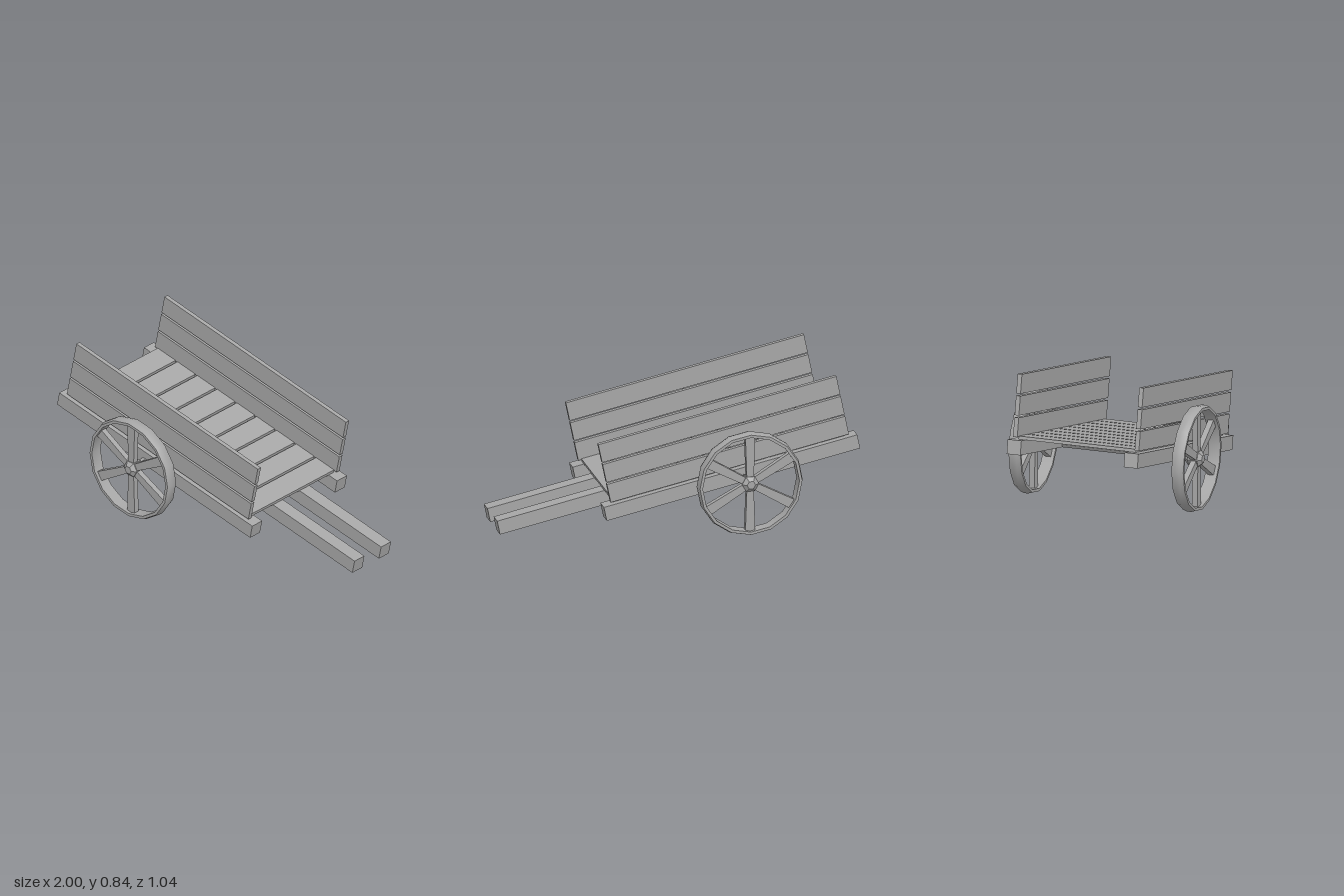
import * as THREE from 'three';
import { toCreasedNormals } from 'three/addons/utils/BufferGeometryUtils.js';

export function createModel() {
  const wood = new THREE.MeshStandardMaterial({ color: 0xa6a6a6 });
  wood.name = 'greyWood';

  const model = new THREE.Group();
  model.name = 'handCart';

  const add = (parent, name, geometry) => {
    const mesh = new THREE.Mesh(geometry, wood);
    mesh.name = name;
    parent.add(mesh);
    return mesh;
  };

  // Box given by its limits on each axis
  const beam = (parent, name, x0, x1, y0, y1, z0, z1) => {
    const mesh = add(parent, name, new THREE.BoxGeometry(x1 - x0, y1 - y0, z1 - z0));
    mesh.position.set((x0 + x1) / 2, (y0 + y1) / 2, (z0 + z1) / 2);
    return mesh;
  };

  // Ring or hub turned around the z axis from [radius, z] points
  const turned = (points, sides, start, crease) => {
    const profile = points.map(([r, z]) => new THREE.Vector2(r, z));
    const geometry = new THREE.LatheGeometry(profile, sides, start).rotateX(Math.PI / 2);
    return toCreasedNormals(geometry, crease);
  };

  // Tilted cart body, with its origin on the axle
  const body = new THREE.Group();
  body.name = 'cartBody';
  body.position.set(-0.35, 0.303, 0);
  body.rotation.z = -0.2045;
  model.add(body);

  // Deck planks
  for (let i = 0; i < 9; i++) {
    const x = -0.597 + i * 0.1505;
    beam(body, 'deckPlank', x, x + 0.136, 0.057, 0.075, -0.345, 0.345);
  }

  for (const side of [1, -1]) {
    const mirrored = (name, x0, x1, y0, y1, z0, z1) => {
      const mesh = beam(body, name, x0, x1, y0, y1, z0, z1);
      mesh.position.z *= side;
    };
    mirrored('sideRail', -0.66, 0.807, -0.024, 0.057, 0.305, 0.385);
    mirrored('pullShaft', 0.44, 1.363, -0.024, 0.057, 0.068, 0.148);
    for (let i = 0; i < 3; i++) {
      const y = 0.069 + i * 0.1205;
      mirrored('sideBoard', -0.618, 0.761, y, y + 0.108, 0.346, 0.371);
    }
  }

  // Axle
  const axle = add(model, 'axle', turned([[0.023, -0.44], [0.023, 0.44]], 6, Math.PI / 2, 0.3));
  axle.position.set(-0.35, 0.3, 0);

  // Wheel parts
  const rim = turned([
    [0.274, -0.035], [0.29, -0.035], [0.2975, -0.012], [0.2975, 0.012],
    [0.29, 0.035], [0.274, 0.035], [0.274, -0.035],
  ], 16, 0, 0.6);
  const hub = turned([
    [0, -0.06], [0.023, -0.06], [0.048, -0.035], [0.048, 0.02], [0.024, 0.04], [0, 0.04],
  ], 6, Math.PI / 2, 0.3);

  // Spoke, narrower towards the hub
  const spoke = new THREE.BoxGeometry(0.056, 0.25, 0.032).translate(0, 0.153, 0);
  const pos = spoke.attributes.position;
  for (let i = 0; i < pos.count; i++) {
    if (pos.getY(i) < 0.1) pos.setX(i, pos.getX(i) * 0.7);
  }
  spoke.computeVertexNormals();

  for (const side of [1, -1]) {
    const wheel = new THREE.Group();
    wheel.name = side > 0 ? 'frontWheel' : 'backWheel';
    wheel.position.set(-0.35, 0.3, side * 0.48);
    wheel.rotation.y = side > 0 ? 0 : Math.PI;
    model.add(wheel);
    add(wheel, 'rim', rim);
    add(wheel, 'hub', hub);
    for (let i = 0; i < 6; i++) {
      add(wheel, 'spoke', spoke).rotation.z = (i * Math.PI) / 3;
    }
  }

  return model;
}
